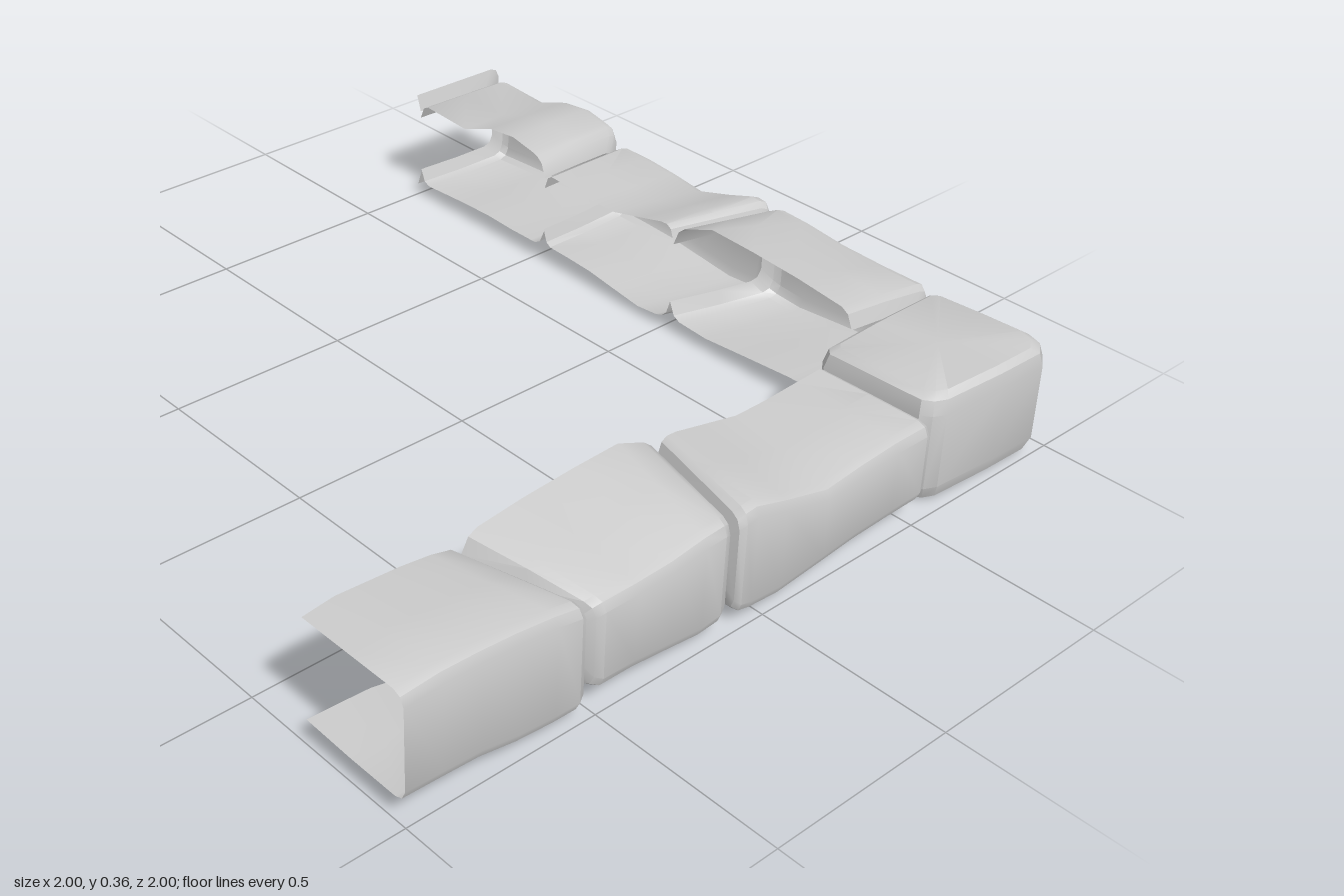
import * as THREE from 'three';
import { toCreasedNormals } from 'three/addons/utils/BufferGeometryUtils.js';

const DEPTH = 0.31; // how far the top and bottom flanges reach inward
const material = new THREE.MeshStandardMaterial({ color: 0xcccccc, side: THREE.DoubleSide });
const lerp = THREE.MathUtils.lerp;

// Joins rows of equally many points into a skin
function skin(rows, closed, flip) {
  const n = rows[0].length, index = [];
  for (let i = 0; i < rows.length - 1; i++) {
    for (let j = 0; j < (closed ? n : n - 1); j++) {
      const k = (j + 1) % n;
      const a = i * n + j, b = i * n + k, c = a + n, d = b + n;
      if (flip) index.push(a, b, c, b, d, c);
      else index.push(a, c, b, b, c, d);
    }
  }
  const g = new THREE.BufferGeometry();
  g.setAttribute('position', new THREE.Float32BufferAttribute(rows.flat(2), 3));
  g.setIndex(index);
  return toCreasedNormals(g, 0.55);
}

// Reads one column of a stone's profile at t
function sample(profile, t, col) {
  let i = 0;
  while (i < profile.length - 2 && profile[i + 1][0] < t) i++;
  const p = profile[i], q = profile[i + 1];
  return lerp(p[col], q[col], (t - p[0]) / (q[0] - p[0]));
}

// C-shaped section as [depth, height], shrunk by inset inside the joints
function section(profile, t, inset) {
  const outer = sample(profile, t, 1) - inset;
  const inner = sample(profile, t, 2) - inset;
  const bottom = sample(profile, t, 3) + inset;
  const w = inset * 0.8;
  return [
    [DEPTH, inner], [0.17, lerp(outer, inner, 0.55)], [w + 0.03, outer],
    [w + 0.01, outer - 0.008], [w, outer - 0.03],
    [w, bottom + 0.03], [w + 0.01, bottom + 0.008], [w + 0.03, bottom],
    [0.17, bottom], [DEPTH, bottom + 0.005],
  ];
}

// Hollow stone between two slanted joints, each given as [outer, inner] position
function stone(name, place, start, end, profile, flip, cutEnd = false) {
  const length = end[0] - start[0];
  const bevel = [[0, 0.045], [0.014, 0.01], [0.032, 0]];
  const stations = bevel.map(([s, inset]) => [s / length, inset]);
  for (const [t] of profile) if (t > 0.08 && t < 0.92) stations.push([t, 0]);
  if (cutEnd) stations.push([1, 0]);
  else for (const [s, inset] of [...bevel].reverse()) stations.push([1 - s / length, inset]);
  const rows = stations.map(([t, inset]) => section(profile, t, inset).map(([d, y]) => {
    const k = d / DEPTH;
    return place(lerp(lerp(start[0], start[1], k), lerp(end[0], end[1], k), t), y, d);
  }));
  const mesh = new THREE.Mesh(skin(rows, false, flip), material);
  mesh.name = name;
  return mesh;
}

// Profiles: t, top at the outer wall, top at the inner edge, bottom
const humped = [
  [0, 0.295, 0.3, 0.04], [0.37, 0.285, 0.29, 0.05], [0.57, 0.32, 0.33, 0.052],
  [0.75, 0.33, 0.34, 0.048], [0.9, 0.315, 0.325, 0.048], [1, 0.3, 0.31, 0.05],
];
const dipped = [
  [0, 0.27, 0.28, 0.058], [0.2, 0.27, 0.275, 0.055], [0.38, 0.262, 0.27, 0.05],
  [0.55, 0.25, 0.27, 0.038], [0.76, 0.285, 0.295, 0.024], [0.9, 0.312, 0.312, 0.03],
  [1, 0.305, 0.315, 0.045],
];
const tilted = [
  [0, 0.31, 0.31, 0.045], [0.22, 0.305, 0.36, 0.037], [0.45, 0.292, 0.355, 0.047],
  [0.7, 0.288, 0.345, 0.057], [1, 0.288, 0.325, 0.058],
];
const ending = [
  [0, 0.3, 0.3, 0.03], [0.2, 0.318, 0.32, 0.032], [0.4, 0.33, 0.33, 0.04],
  [0.6, 0.337, 0.335, 0.057], [0.8, 0.34, 0.34, 0.062], [1, 0.333, 0.33, 0.066],
];

// Solid rounded block where the two arms meet
function cornerStone() {
  const outline = [
    [0.63, -0.975], [0.65, -0.992], [0.78, -0.998], [0.92, -1], [0.965, -0.985],
    [0.995, -0.945], [0.992, -0.8], [0.98, -0.61], [0.965, -0.578], [0.94, -0.56],
    [0.8, -0.56], [0.655, -0.56], [0.635, -0.58], [0.628, -0.75],
  ];
  const layers = [
    [0.004, 1], [0.004, 0.16], [0.014, 0.07], [0.05, 0], [0.25, 0],
    [0.285, 0.045], [0.298, 0.14], [0.3, 1],
  ];
  const rows = layers.map(([y, inset]) => outline.map(([x, z]) => [
    lerp(x, 0.81, inset),
    y + (y < 0.1 ? 0.06 : -0.025) * Math.max(0, 0.93 - lerp(x, 0.81, inset)),
    lerp(z, -0.78, inset),
  ]));
  const mesh = new THREE.Mesh(skin(rows, true, false), material);
  mesh.name = 'cornerStone';
  return mesh;
}

export function createModel() {
  const group = new THREE.Group();
  group.name = 'stoneEdging';

  // Back arm runs along x, side arm along z
  const alongX = (s, y, d) => [s, y, -1 + d];
  const alongZ = (s, y, d) => [1 - d, y, s];

  const back = new THREE.Group();
  back.name = 'backArm';
  back.add(
    stone('backStone1', alongX, [-0.985, -0.985], [-0.478, -0.458], humped, false),
    stone('backStone2', alongX, [-0.478, -0.458], [0.105, 0.03], dipped, false),
    stone('backStone3', alongX, [0.105, 0.03], [0.625, 0.625], tilted, false),
  );

  // Sliver of the next stone that closes the far joint
  const sliver = [[-1, 0], [-0.985, 0.045]].map(([s, inset]) =>
    section(ending, 0.2, inset).map(([d, y]) => alongX(s, y, d)));
  const lip = new THREE.Mesh(skin(sliver, false, false), material);
  lip.name = 'endLip';
  back.add(lip);

  const side = new THREE.Group();
  side.name = 'sideArm';
  side.add(
    stone('sideStone1', alongZ, [-0.55, -0.53], [0.105, 0.03], dipped, false),
    stone('sideStone2', alongZ, [0.105, 0.03], [0.512, 0.595], tilted, false),
    stone('sideStone3', alongZ, [0.512, 0.595], [1, 1], ending, false, true),
  );

  group.add(back, side, cornerStone());
  return group;
}
